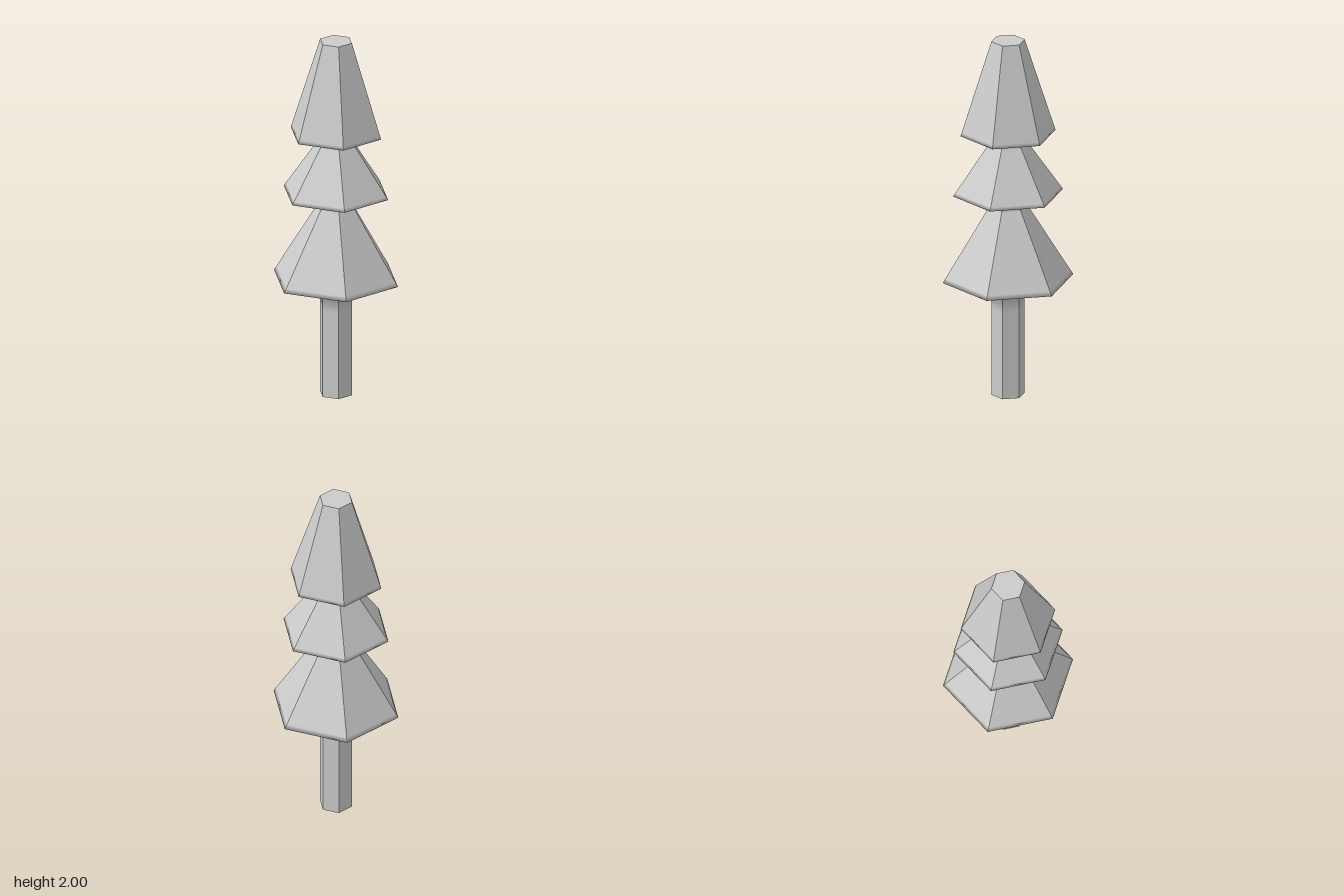
import * as THREE from 'three';
import { mergeGeometries } from 'three/addons/utils/BufferGeometryUtils.js';

const SIDES = 6;
const STEP = (Math.PI * 2) / SIDES;
const STEM = 0.09; // radius of trunk, waists and flat tip

// Outline [radius, height], bottom to top; short bands tighten the rims and waists
const PROFILE = [
  [STEM, 0], [STEM, 0.49], [STEM, 0.59],
  [0.352, 0.652], [0.338, 0.675], [0.105, 1.06], [STEM, 1.085],
  [0.296, 1.138], [0.284, 1.156], [0.108, 1.415], [STEM, 1.442],
  [0.256, 1.476], [0.25, 1.495], [STEM, 2],
].map(([r, y]) => new THREE.Vector2(r, y));

// One side of the hexagon: flat across, smoothly shaded up the outline
function makePanel(start) {
  const panel = new THREE.LatheGeometry(PROFILE, 1, start, STEP);
  const normals = panel.attributes.normal;
  const mid = start + STEP / 2;
  const n = new THREE.Vector3();
  for (let i = 0; i < normals.count; i++) {
    n.fromBufferAttribute(normals, i);
    const out = n.x * Math.sin(start + (i < PROFILE.length ? 0 : STEP))
      + n.z * Math.cos(start + (i < PROFILE.length ? 0 : STEP));
    n.set(out * Math.sin(mid), n.y * Math.cos(STEP / 2), out * Math.cos(mid)).normalize();
    normals.setXYZ(i, n.x, n.y, n.z);
  }
  return panel;
}

export function createModel() {
  const group = new THREE.Group();
  const material = new THREE.MeshStandardMaterial({ color: 0xcccccc });
  const panels = Array.from({ length: SIDES }, (_, k) => makePanel(Math.PI / 6 + k * STEP));

  const add = (name, geometry) => {
    const mesh = new THREE.Mesh(geometry, material);
    mesh.name = name;
    group.add(mesh);
    return mesh;
  };

  // Trunk and tiers: bands of the outline between two rings
  const bands = { trunk: [0, 2], lowerTier: [2, 6], middleTier: [6, 10], topTier: [10, 13] };
  for (const [name, [from, to]] of Object.entries(bands)) {
    const pieces = panels.map((panel) => {
      const piece = panel.clone();
      piece.setIndex(Array.from(panel.index.array).slice(from * 6, to * 6));
      return piece;
    });
    add(name, mergeGeometries(pieces));
  }

  // Flat ends
  const cap = new THREE.CircleGeometry(STEM, SIDES);
  add('trunkBase', cap).rotation.x = Math.PI / 2;
  const tip = add('flatTip', cap);
  tip.rotation.x = -Math.PI / 2;
  tip.position.y = 2;

  return group;
}
